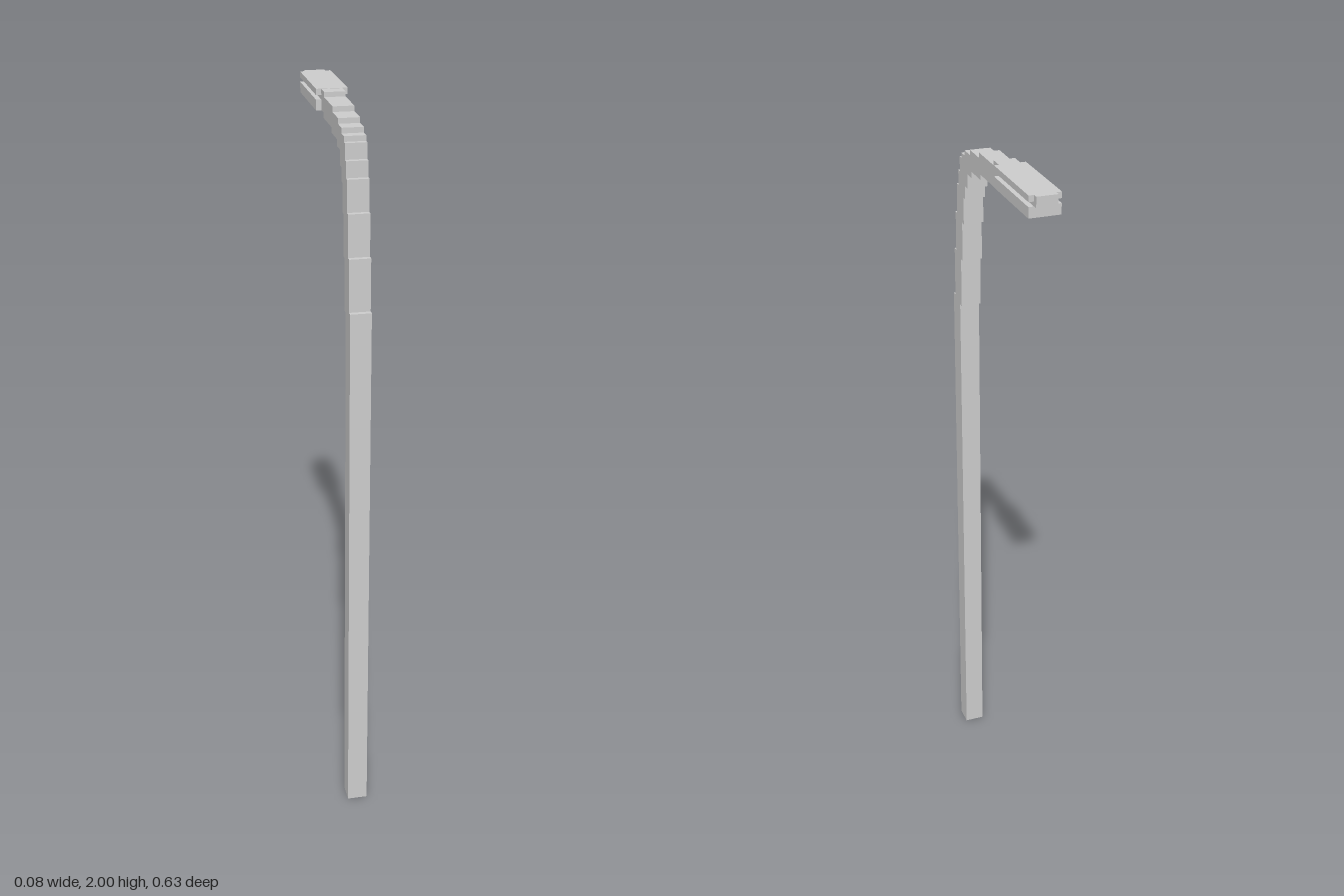
import * as THREE from 'three';

const material = new THREE.MeshStandardMaterial({ color: 0xcccccc, flatShading: true });

// Side outline given as [z, y] corners, extruded across x
function sideExtrusion(name, corners, width) {
  const shape = new THREE.Shape(corners.map(([z, y]) => new THREE.Vector2(-z, y)));
  const geometry = new THREE.ExtrudeGeometry(shape, { depth: width, bevelEnabled: false });
  geometry.translate(0, 0, -width / 2).rotateY(Math.PI / 2);
  const mesh = new THREE.Mesh(geometry, material);
  mesh.name = name;
  return mesh;
}

// Turn [z, y] steps into a staircase: rise to y at z, then run to the next z
function staircase(steps, startY, endZ) {
  const points = [];
  let y = startY;
  steps.forEach(([z, top], i) => {
    points.push([z, y], [z, top]);
    y = top;
    if (i === steps.length - 1) points.push([endZ, top]);
  });
  return points;
}

// Outline of the lamp head from above; the narrow tip closes the far end
function headSlab(name, bottom, top, tip) {
  const w = 0.042, n = 0.028, near = -0.064, far = -0.302, end = -0.316;
  const half = tip
    ? [[w, near], [w, far], [n, far], [n, end]]
    : [[w, near], [w, far]];
  const outline = [...half, ...half.map(([x, z]) => [-x, z]).reverse()];
  const shape = new THREE.Shape(outline.map(([x, z]) => new THREE.Vector2(x, -z)));
  const geometry = new THREE.ExtrudeGeometry(shape, { depth: top - bottom, bevelEnabled: false });
  geometry.rotateX(-Math.PI / 2).translate(0, bottom, 0);
  const mesh = new THREE.Mesh(geometry, material);
  mesh.name = name;
  return mesh;
}

export function createModel() {
  const group = new THREE.Group();
  group.name = 'streetLamp';

  // Post and stepped, curving arm in one piece
  const armEnd = -0.301;
  const outer = staircase([
    [0.314, 1.514], [0.3, 1.653], [0.286, 1.764], [0.272, 1.847], [0.258, 1.889],
    [0.244, 1.93], [0.23, 1.944], [0.202, 1.958], [0.158, 1.972], [0.088, 1.986], [-0.024, 1.999],
  ], 0, armEnd);
  const inner = staircase([
    [0.259, 1.5], [0.245, 1.64], [0.231, 1.75], [0.217, 1.825], [0.203, 1.861],
    [0.182, 1.9], [0.147, 1.917], [0.077, 1.931], [-0.037, 1.945],
  ], 0, armEnd);
  group.add(sideExtrusion('postAndArm', [...outer, ...inner.reverse()], 0.056));

  // Lamp head: two slabs with a shallow groove between them
  group.add(headSlab('headCover', 1.984, 2, true));
  group.add(headSlab('headBase', 1.944, 1.972, false));

  // Narrow lip under the tip of the cover
  const lip = new THREE.Mesh(new THREE.BoxGeometry(0.056, 0.012, 0.014), material);
  lip.name = 'headTip';
  lip.position.set(0, 1.978, -0.309);
  group.add(lip);

  return group;
}
